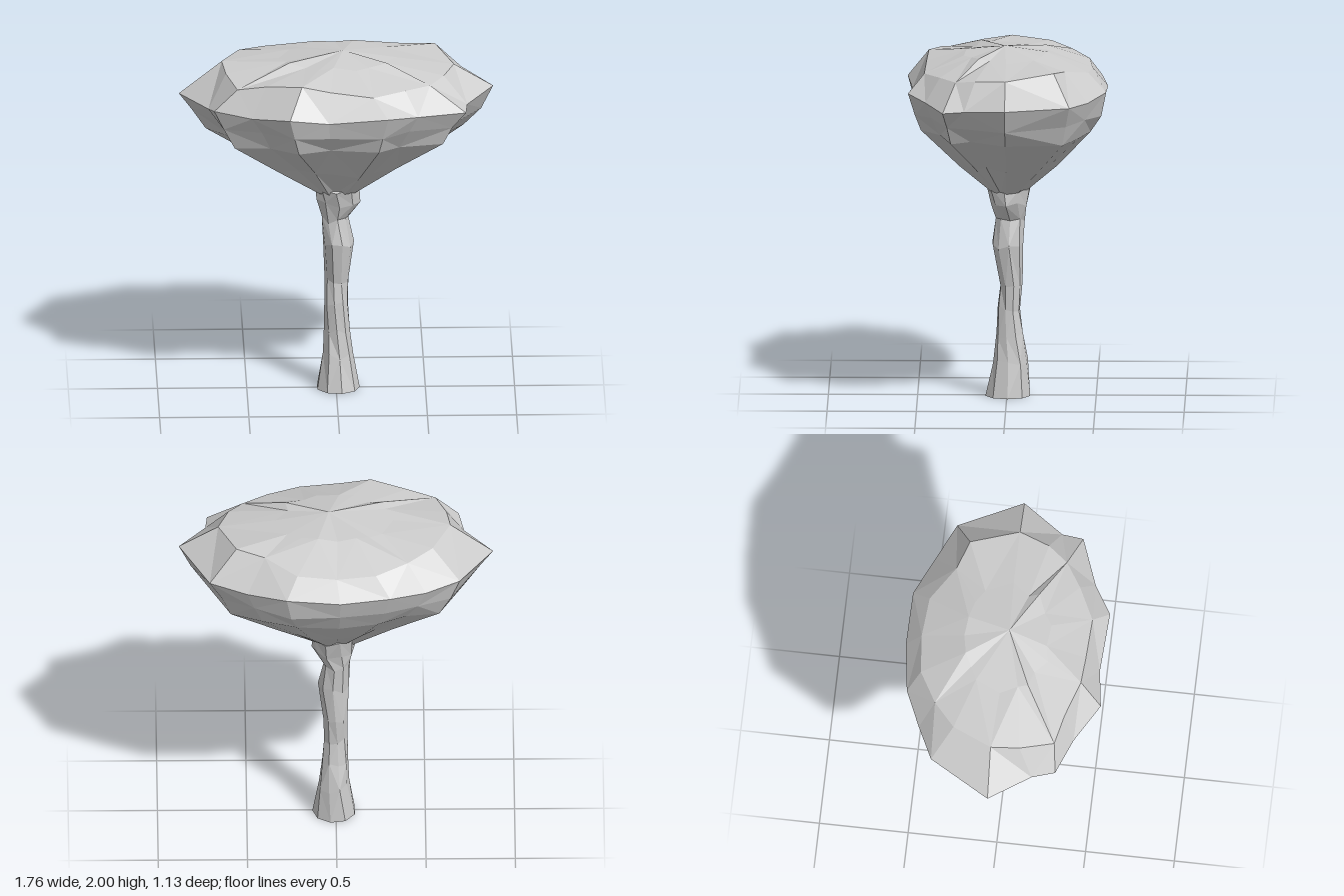
import * as THREE from 'three';

// Skin a stack of rings (bottom to top, equal point counts) with flat triangles.
function loft(rings) {
  const pos = [];
  const tri = (a, b, c) => {
    if (a.distanceTo(b) < 1e-5 || b.distanceTo(c) < 1e-5 || a.distanceTo(c) < 1e-5) return;
    for (const p of [a, b, c]) pos.push(p.x, p.y, p.z);
  };
  for (let r = 0; r < rings.length - 1; r++) {
    const lo = rings[r], hi = rings[r + 1], n = lo.length;
    for (let i = 0; i < n; i++) {
      const j = (i + 1) % n;
      if ((i + r) % 2) { // alternate the diagonal for an irregular faceted look
        tri(lo[i], hi[i], lo[j]);
        tri(lo[j], hi[i], hi[j]);
      } else {
        tri(lo[i], hi[i], hi[j]);
        tri(lo[i], hi[j], lo[j]);
      }
    }
  }
  const g = new THREE.BufferGeometry();
  g.setAttribute('position', new THREE.Float32BufferAttribute(pos, 3));
  g.computeVertexNormals();
  return g;
}

function seeded(seed) {
  return () => {
    seed = (seed * 16807) % 2147483647;
    return seed / 2147483647 - 0.5;
  };
}

const point = (x, y, z, n) => Array.from({ length: n }, () => new THREE.Vector3(x, y, z));

function canopyGeometry() {
  const rnd = seeded(71);
  // widest outline: x, z, y, going round from the left tip through the front
  const rim = [
    [0.88, 0, 1.78], [0.73, 0.23, 1.75], [0.72, 0.35, 1.74], [0.45, 0.45, 1.75],
    [0.28, 0.55, 1.77], [-0.05, 0.53, 1.74], [-0.27, 0.56, 1.77], [-0.48, 0.43, 1.74],
    [-0.69, 0.35, 1.76], [-0.72, 0.22, 1.73], [-0.88, -0.01, 1.745], [-0.69, -0.35, 1.77],
    [-0.5, -0.44, 1.75], [-0.3, -0.53, 1.77], [-0.02, -0.567, 1.76], [0.28, -0.56, 1.78],
    [0.5, -0.46, 1.76], [0.71, -0.36, 1.77],
  ];
  const n = rim.length;
  const ring = (y, sx, sz, jitter) => rim.map(([x, z]) => {
    const k = 1 + rnd() * jitter;
    return new THREE.Vector3(x * sx * k, y + rnd() * jitter * 0.35, z * sz * k);
  });
  // edge of the nearly flat top
  const crown = [
    [0.66, 0.0, 1.91], [0.6, 0.17, 1.9], [0.52, 0.28, 1.88], [0.38, 0.37, 1.88],
    [0.2, 0.46, 1.87], [-0.04, 0.45, 1.9], [-0.2, 0.44, 1.93], [-0.4, 0.37, 1.91],
    [-0.56, 0.33, 1.88], [-0.62, 0.14, 1.91], [-0.64, -0.02, 1.93], [-0.54, -0.24, 1.92],
    [-0.4, -0.36, 1.9], [-0.22, -0.46, 1.88], [0, -0.48, 1.87], [0.22, -0.46, 1.88],
    [0.4, -0.33, 1.92], [0.56, -0.27, 1.94],
  ];
  const toVec = ([x, z, y]) => new THREE.Vector3(x, y, z);
  return loft([
    point(0, 1.17, 0, n),
    ring(1.16, 0.13, 0.14, 0.1),
    ring(1.34, 0.46, 0.49, 0.12),
    ring(1.54, 0.80, 0.85, 0.09),
    ring(1.65, 0.90, 0.94, 0.06),
    rim.map(toVec),
    crown.map(toVec),
    ring(1.965, 0.38, 0.42, 0.08),
    point(0.04, 2.0, 0.01, n),
  ]);
}

function trunkGeometry() {
  const n = 9, rnd = seeded(19);
  // height, then extent to -x, +x, -z, +z
  const levels = [
    [0.01, -0.11, 0.13, -0.13, 0.12], [0.2, -0.07, 0.1, -0.12, 0.08],
    [0.35, -0.065, 0.08, -0.09, 0.06], [0.5, -0.065, 0.07, -0.075, 0.05],
    [0.64, -0.06, 0.07, -0.09, 0.04], [0.85, -0.07, 0.095, -0.09, 0.085],
    [1.0, -0.08, 0.07, -0.1, 0.06], [1.1, -0.105, 0.135, -0.11, 0.09],
    [1.2, -0.11, 0.13, -0.14, 0.11],
  ];
  const rings = levels.map(([y, x0, x1, z0, z1], k) => Array.from({ length: n }, (_, i) => {
    const a = (i / n) * Math.PI * 2 + k * 0.12;
    const s = 1.02 + (k ? rnd() * 0.12 : 0);
    return new THREE.Vector3(
      (x0 + x1) / 2 + Math.cos(a) * s * (x1 - x0) / 2,
      k ? y + rnd() * 0.04 : 0,
      (z0 + z1) / 2 + Math.sin(a) * s * (z1 - z0) / 2);
  }));
  return loft([point(0.01, 0, 0, n), ...rings, point(0.01, 1.24, 0, n)]);
}

export function createModel() {
  const model = new THREE.Group();
  model.name = 'tree';
  const grey = new THREE.MeshStandardMaterial({ color: 0xcccccc, flatShading: true });
  const add = (name, geometry) => {
    const mesh = new THREE.Mesh(geometry, grey);
    mesh.name = name;
    model.add(mesh);
  };
  add('trunk', trunkGeometry());
  add('canopy', canopyGeometry());
  return model;
}
